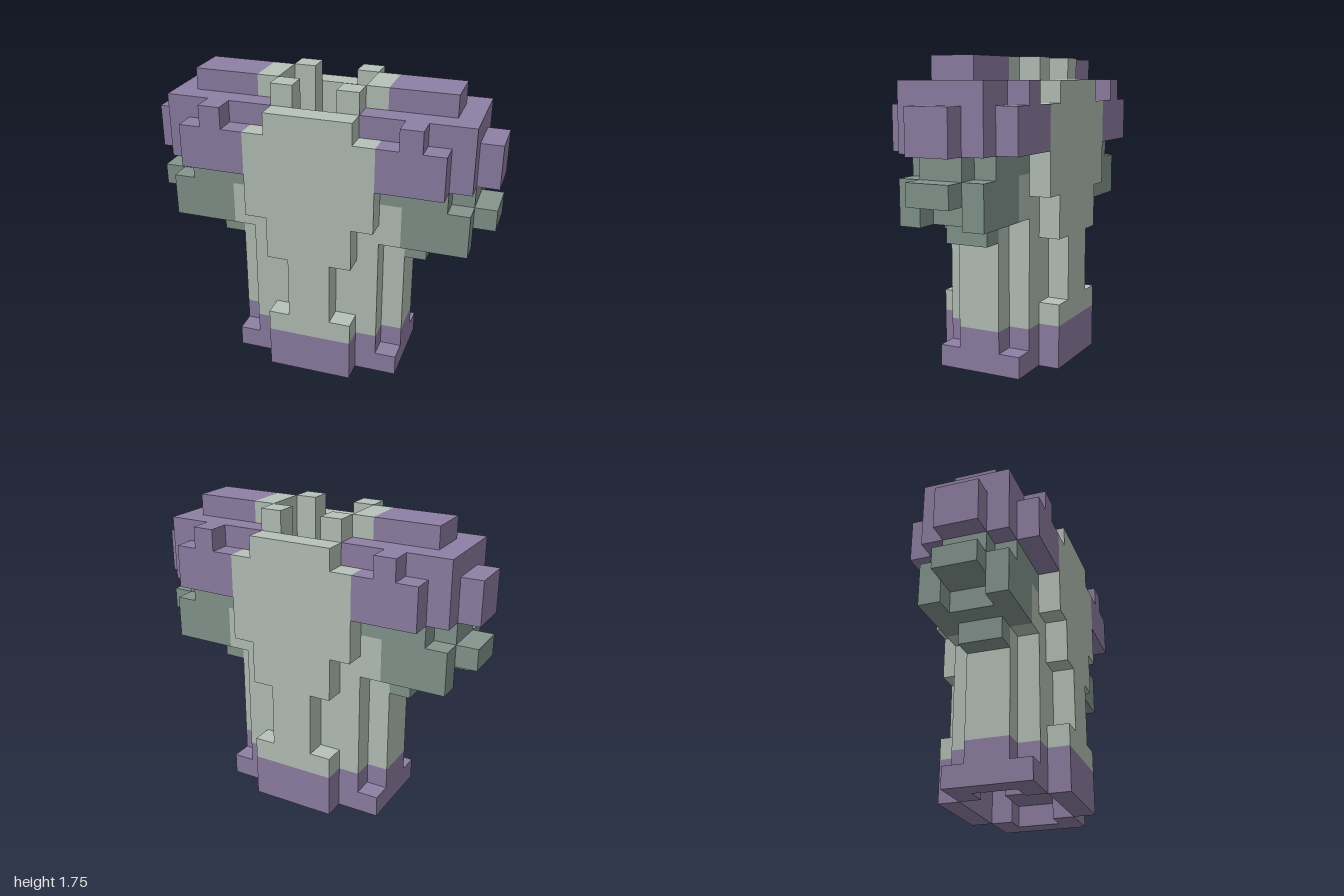
import * as THREE from 'three';
import { mergeGeometries } from 'three/addons/utils/BufferGeometryUtils.js';

const U = 0.125; // one block

// A block from ranges in units, [x0, x1, y0, y1, z0, z1]
function block([x0, x1, y0, y1, z0, z1]) {
  const g = new THREE.BoxGeometry((x1 - x0) * U, (y1 - y0) * U, (z1 - z0) * U);
  return g.translate((x0 + x1) / 2 * U, (y0 + y1) / 2 * U, (z0 + z1) / 2 * U);
}

// Repeats a block on both sides: ranges starting at 0 are widened across the centre
function mirrored([x0, x1, y0, y1, z0, z1]) {
  const xs = x0 === 0 ? [[-x1, x1]] : [[x0, x1], [-x1, -x0]];
  const zs = z0 === 0 ? [[-z1, z1]] : [[z0, z1], [-z1, -z0]];
  return xs.flatMap(([a, b]) => zs.map(([c, d]) => block([a, b, y0, y1, c, d])));
}

export function createModel() {
  const group = new THREE.Group();
  const material = (name, color) => {
    const m = new THREE.MeshStandardMaterial({ color });
    m.name = name;
    return m;
  };
  const pale = material('paleGreen', 0xb7c3ba);
  const dark = material('darkGreen', 0x85968f);
  const purple = material('purple', 0x8f80a5);
  const black = material('black', 0x222222);

  const part = (name, mat, blocks) => {
    const mesh = new THREE.Mesh(mergeGeometries(blocks.flatMap(mirrored)), mat);
    mesh.name = name;
    group.add(mesh);
  };

  // Hollow base rim
  part('baseRim', purple, [
    [0, 2, 0, 2, 2, 3],
    [2, 3, 0, 2, 1, 2],
    [3, 4, 0, 1, 0, 2],
    [3, 4, 1, 2, 0, 1],
    [1, 3, 1, 2, 0, 1],
  ]);

  // Front and back plates, narrow at the waist and wide at the chest
  part('chestPlates', pale, [
    [0, 2, 2, 3, 2, 3],
    [0, 1, 3, 6, 2, 3],
    [0, 2, 6, 8, 2, 3],
    [0, 3, 8, 12, 2, 3],
    [0, 2, 12, 13, 2, 3],
  ]);

  // Side walls of the trunk, around the open middle
  part('trunkWalls', pale, [
    [2, 3, 2, 12, 1, 2],
    [2, 3, 2, 14, 0, 1],
    [3, 4, 2, 7, 0, 1],
    [3, 4, 7, 9, 0, 2],
  ]);

  // Corner posts beside the neck opening
  part('neckPosts', pale, [[1, 2, 3, 14, 1, 2]]);

  // Dark bottom of the neck opening
  part('neckFloor', black, [[0, 1, 3, 3.05, 0, 2]]);

  // Stepped shoulders
  part('shoulders', purple, [
    [3, 7, 10, 13, 0, 2],
    [2, 3, 12, 13, 1, 2],
    [3, 6, 13, 14, 0, 1],
    [7, 8, 10, 12, 0, 1],
    [3, 6, 10, 12, 2, 3],
    [4, 5, 12, 13, 2, 3],
  ]);

  // Foliage-like clusters under the shoulders
  part('underShoulders', dark, [
    [3, 6, 9, 10, 0, 2],
    [6, 7, 9, 10, 0, 1],
    [4, 7, 8, 9, 0, 2],
    [7, 8, 8, 9, 0, 1],
    [4, 6, 7, 8, 0, 2],
    [6, 7, 7, 8, 1, 2],
    [4, 5, 6, 7, 0, 1],
  ]);

  return group;
}
